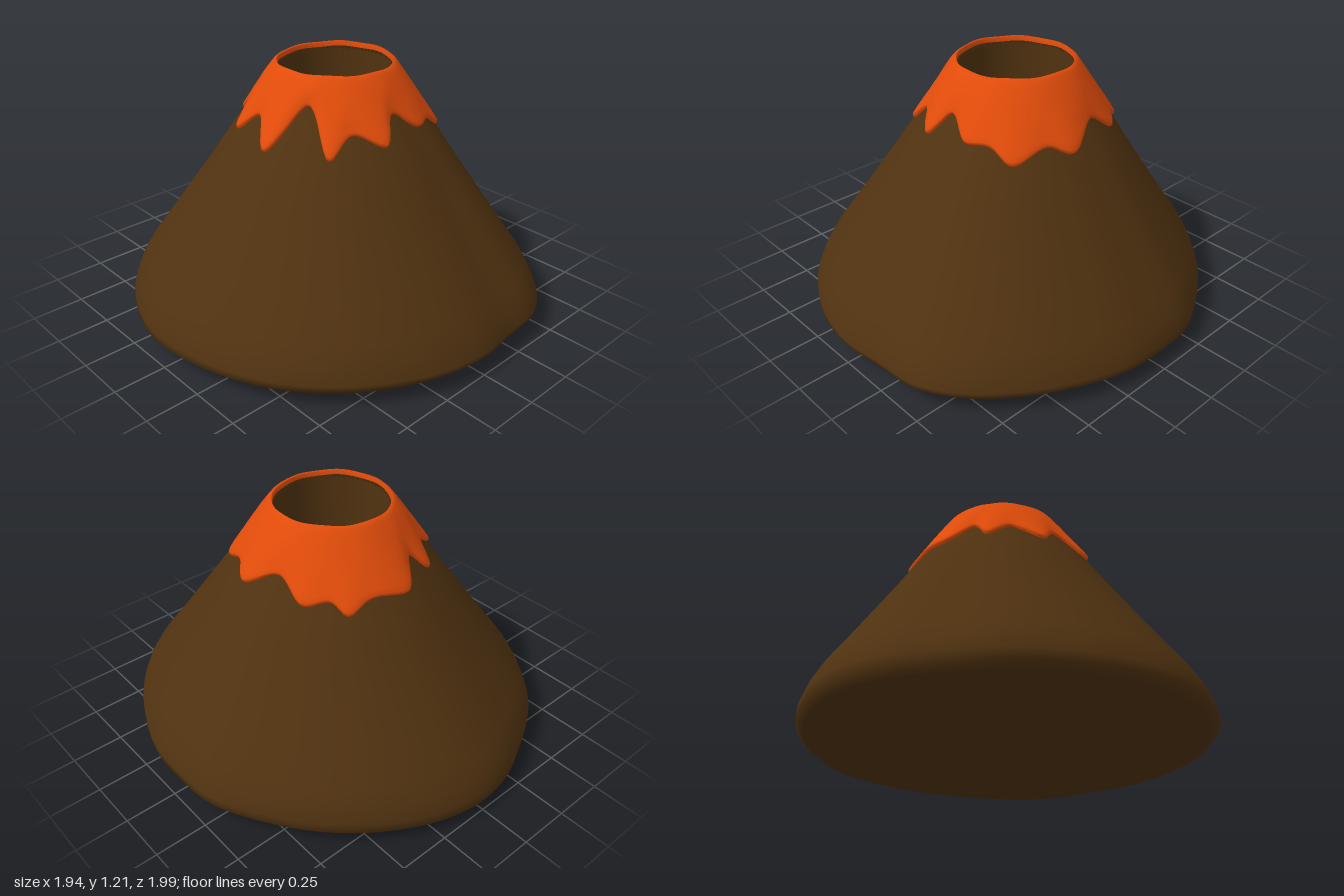
import * as THREE from 'three';

const TAU = Math.PI * 2, SEG = 192;
const CX = 0.035, RIM = 0.268; // crater centre and radius

// Plan outlines as [x, z]
const baseOutline = [
  [0.965, 0], [0.955, 0.2], [0.885, 0.42], [0.76, 0.65], [0.6, 0.835], [0.425, 0.945], [0.2, 0.972], [0, 0.995],
  [-0.2, 0.965], [-0.35, 0.91], [-0.6, 0.755], [-0.8, 0.53], [-0.92, 0.27], [-0.97, 0], [-0.955, -0.2],
  [-0.87, -0.43], [-0.75, -0.61], [-0.59, -0.77], [-0.35, -0.905], [-0.18, -0.975], [0, -1], [0.2, -0.968],
  [0.38, -0.89], [0.54, -0.785], [0.72, -0.61], [0.89, -0.35], [0.95, -0.2],
];
const lavaOutline = [
  [0.49, 0.08], [0.43, 0.18], [0.38, 0.34], [0.28, 0.37], [0.17, 0.42], [0.03, 0.38], [-0.06, 0.45],
  [-0.19, 0.35], [-0.31, 0.34], [-0.27, 0.16], [-0.45, 0.06], [-0.36, -0.08], [-0.39, -0.21],
  [-0.31, -0.26], [-0.25, -0.29], [-0.2, -0.4], [-0.1, -0.37], [0, -0.47], [0.2, -0.42], [0.3, -0.4],
  [0.33, -0.33], [0.42, -0.24], [0.42, -0.1],
];

// Turns a closed outline into radius as a function of angle about (cx, 0)
function polar(points, cx) {
  const curve = new THREE.CatmullRomCurve3(points.map(([x, z]) => new THREE.Vector3(x - cx, 0, z)), true);
  const s = curve.getPoints(900).map(p => [(Math.atan2(p.z, p.x) + TAU) % TAU, Math.hypot(p.x, p.z)]);
  s.sort((a, b) => a[0] - b[0]);
  return a => {
    const i = s.findIndex(e => e[0] >= a);
    if (i <= 0) return s[0][1];
    const [a0, r0] = s[i - 1], [a1, r1] = s[i];
    return a1 - a0 < 1e-6 ? r1 : r0 + (r1 - r0) * (a - a0) / (a1 - a0);
  };
}
const baseR = polar(baseOutline, 0), lavaR = polar(lavaOutline, CX);

// Slope height against f, 0 at the crater rim and 1 at the widest ring
const slope = [[0, 1.2], [0.1, 1.075], [0.17, 1], [0.29, 0.89], [0.42, 0.75], [0.565, 0.6], [0.75, 0.41],
  [0.9, 0.26], [0.96, 0.185], [1, 0.115]];
function slopeY(f) {
  const i = Math.max(1, slope.findIndex(e => e[0] >= f));
  const [f0, y0] = slope[i - 1], [f1, y1] = slope[i];
  return y0 + (y1 - y0) * (f - f0) / (f1 - f0);
}

// Point on the mountainside, blending the round crater into the base outline
function side(a, f, lift = 0) {
  const c = Math.cos(a), s = Math.sin(a), R = baseR(a);
  const x = (CX + RIM * c) * (1 - f) + R * c * f, z = RIM * s * (1 - f) + R * s * f;
  return [x + c * lift * 0.82, slopeY(f) + lift * 0.57, z + s * lift * 0.82];
}

// Closed rings joined into one smooth skin
function loft(rows, point, color, name) {
  const pos = [], idx = [];
  for (let j = 0; j < rows; j++)
    for (let k = 0; k < SEG; k++) pos.push(...point(j, k / SEG * TAU));
  for (let j = 0; j < rows - 1; j++)
    for (let k = 0; k < SEG; k++) {
      const n = (k + 1) % SEG, a = j * SEG + k, b = j * SEG + n;
      idx.push(a, b, a + SEG, b, b + SEG, a + SEG);
    }
  const geo = new THREE.BufferGeometry();
  geo.setAttribute('position', new THREE.Float32BufferAttribute(pos, 3));
  geo.setIndex(idx);
  geo.computeVertexNormals();
  const mesh = new THREE.Mesh(geo, new THREE.MeshStandardMaterial({ color, side: THREE.DoubleSide }));
  mesh.name = name;
  return mesh;
}

export function createModel() {
  const group = new THREE.Group();
  group.name = 'volcano';

  // Mountain: crater floor and wall, outer slope, rounded foot, underside
  const crater = [[0, 0.78], [0.25, 0.78], [0.264, 0.78], [0.265, 0.8], [0.265, 0.95], [0.265, 1.17]];
  const foot = [[1, 0.078], [0.965, 0.047], [0.88, 0.03], [0.7, 0.016], [0.4, 0.004], [0, 0]];
  group.add(loft(crater.length + slope.length + foot.length, (j, a) => {
    const c = Math.cos(a), s = Math.sin(a);
    if (j < crater.length) return [CX + crater[j][0] * c, crater[j][1], crater[j][0] * s];
    j -= crater.length;
    if (j < slope.length) return side(a, slope[j][0]);
    const [k, y] = foot[j - slope.length], R = baseR(a) * k;
    return [R * c, y * (1 + 0.22 * s), R * s];
  }, 0x503210, 'mountain'));

  // Lava: thin lip in the crater, drips down the slope, rolled lower edge
  const lip = [[0.264, 1.185], [0.265, 1.203], [0.27, 1.21]];
  const steps = 12;
  group.add(loft(lip.length + steps + 2, (j, a) => {
    if (j < lip.length) {
      const [r, y] = lip[j], wave = 0.004 * Math.sin(3 * a + 1) * Math.cos(5 * a);
      return [CX + r * Math.cos(a), y + wave, r * Math.sin(a)];
    }
    const t = Math.min(1, (j - lip.length + 0.5) / steps);
    const reach = (lavaR(a) - RIM - 0.012) / (baseR(a) - CX * Math.cos(a) - RIM);
    const swell = 0.012 + 0.012 * Math.sin(Math.PI * t) + 0.05 * Math.max(0, reach - 0.15) * t;
    const lift = j === lip.length + steps + 1 ? -0.01 : j === lip.length + steps ? swell * 0.6 : swell;
    return side(a, reach * t, lift);
  }, 0xe24c0a, 'lava'));

  return group;
}
